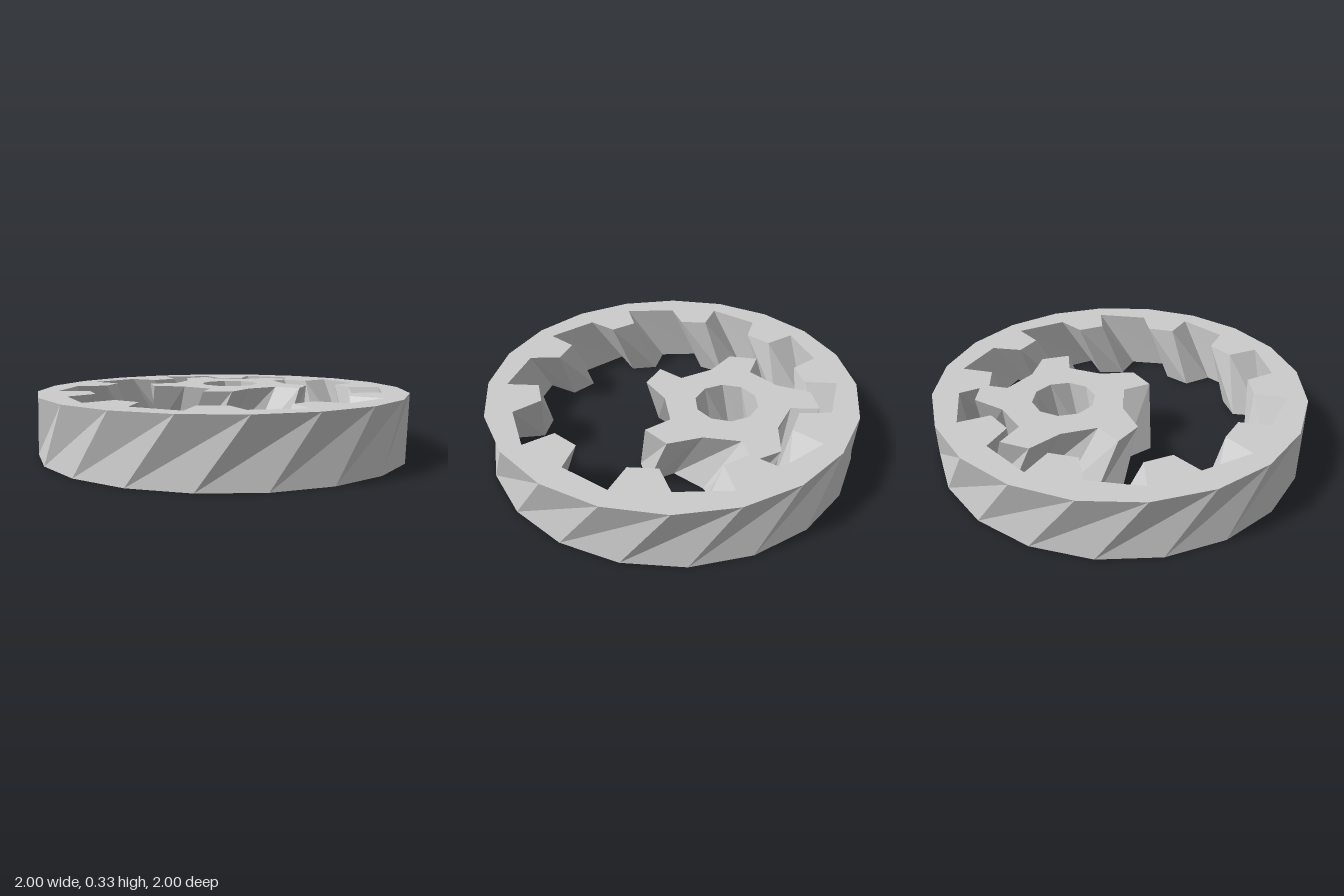
import * as THREE from 'three';

const HEIGHT = 0.33;
const polar = ([deg, r]) => {
  const a = THREE.MathUtils.degToRad(deg);
  return [r * Math.sin(a), r * Math.cos(a)]; // x, z
};

// Repeat a profile of [degrees, radius] points around the axis. The lower
// section is the upper one turned over, which gives the helical twist.
function loops(profile, count, flip) {
  const under = profile.map(([a, r]) => [flip - a, r]).reverse();
  const repeat = (pts) => {
    const out = [];
    for (let k = 0; k < count; k++) {
      for (const [a, r] of pts) out.push(polar([a + (k * 360) / count, r]));
    }
    return out;
  };
  return { top: repeat(profile), bottom: repeat(under) };
}

// Twisted prism with one outer and one inner loop
function helicalSolid(outer, inner) {
  const pos = [];
  const tri = (a, b, c) => pos.push(...a, ...b, ...c);

  const wall = ({ top, bottom }, inward) => {
    const n = top.length;
    for (let i = 0; i < n; i++) {
      const j = (i + 1) % n;
      const b0 = [bottom[i][0], 0, bottom[i][1]];
      const b1 = [bottom[j][0], 0, bottom[j][1]];
      const t0 = [top[i][0], HEIGHT, top[i][1]];
      const t1 = [top[j][0], HEIGHT, top[j][1]];
      if (inward) {
        tri(b0, t0, t1);
        tri(b0, t1, b1);
      } else {
        tri(b0, t1, t0);
        tri(b0, b1, t1);
      }
    }
  };

  const cap = (out, hole, y, up) => {
    const v = ([x, z]) => new THREE.Vector2(x, -z);
    const contour = out.map(v);
    const holePts = hole.map(v).reverse();
    const all = [...contour, ...holePts];
    for (const f of THREE.ShapeUtils.triangulateShape(contour, [holePts])) {
      const p = f.map((i) => all[i]);
      const ccw = THREE.ShapeUtils.area(p) > 0;
      const [a, b, c] = p.map((q) => [q.x, y, -q.y]);
      if (ccw === up) tri(a, b, c);
      else tri(a, c, b);
    }
  };

  wall(outer, false);
  wall(inner, true);
  cap(outer.top, inner.top, HEIGHT, true);
  cap(outer.bottom, inner.bottom, 0, false);

  const geo = new THREE.BufferGeometry();
  geo.setAttribute('position', new THREE.Float32BufferAttribute(pos, 3));
  geo.computeVertexNormals();
  return geo;
}

export function createModel() {
  const group = new THREE.Group();
  const material = new THREE.MeshStandardMaterial({ color: 0xcccccc, flatShading: true });

  // Ring gear: 20-sided rim, 10 internal teeth
  const rim = loops([[13.5, 1]], 20, 13.5);
  const ringTeeth = loops([[-3.8, 0.895], [-2.9, 0.723], [9.1, 0.704], [13.7, 0.858]], 10, -4.2);
  const ring = new THREE.Mesh(helicalSolid(rim, ringTeeth), material);
  ring.name = 'ringGear';
  group.add(ring);

  // Pinion: 5 external teeth around a 10-sided bore
  const pinionTeeth = loops([[-13.1, 0.33], [-10.9, 0.479], [7.9, 0.464], [25.3, 0.325]], 5, -19.6);
  const bore = loops([[18, 0.166]], 10, 16.4);
  const pinion = new THREE.Mesh(helicalSolid(pinionTeeth, bore), material);
  pinion.name = 'pinionGear';
  pinion.position.z = -0.335;
  group.add(pinion);

  return group;
}
